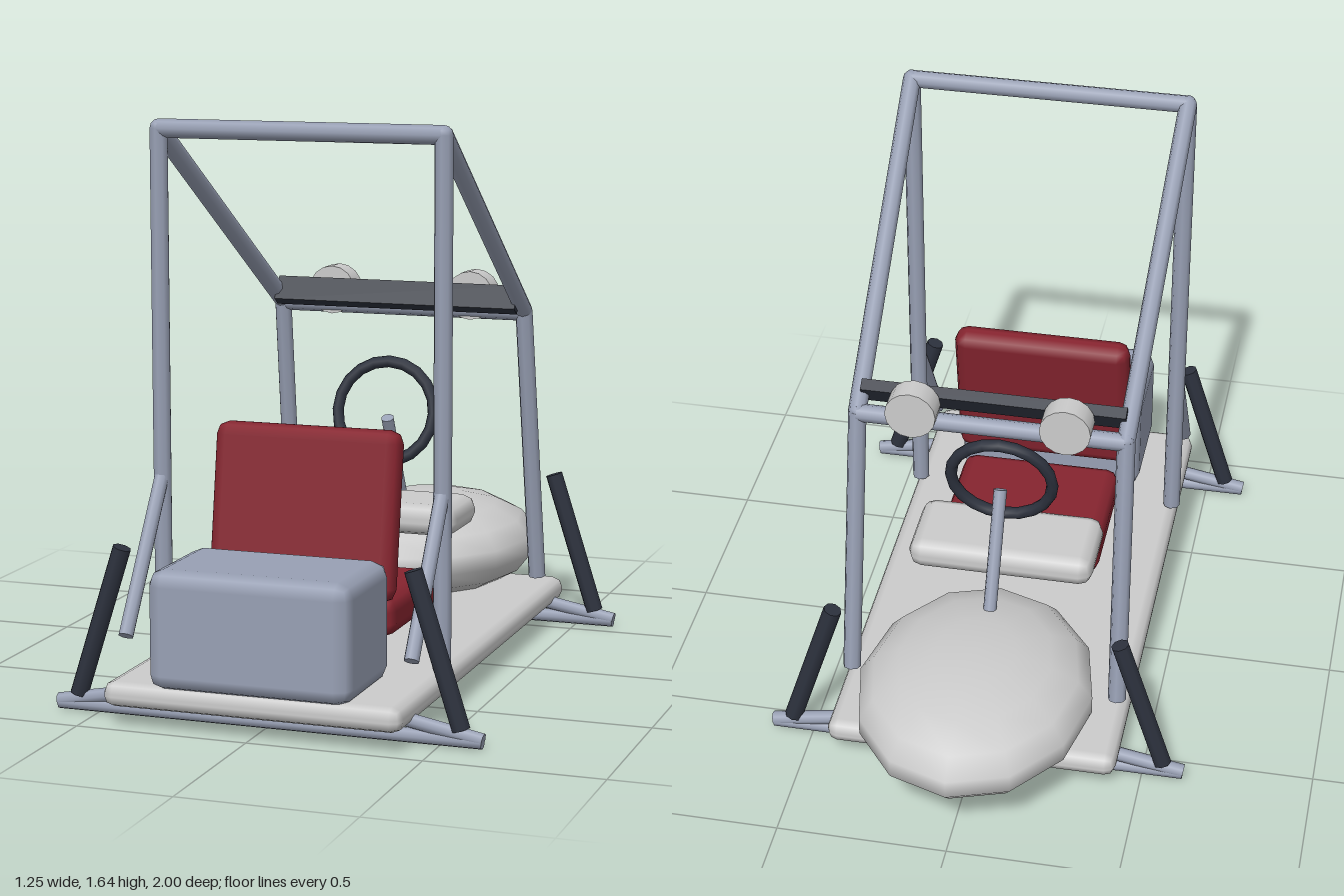
import * as THREE from 'three';
import { RoundedBoxGeometry } from 'three/addons/geometries/RoundedBoxGeometry.js';

const paint = (color) => new THREE.MeshStandardMaterial({ color });
const grey = paint(0xcccccc);
const steel = paint(0x98a0b4);
const dark = paint(0x2d323e);
const red = paint(0x86242f);

export function createModel() {
  const model = new THREE.Group();

  function add(name, geometry, material, x = 0, y = 0, z = 0, tilt = 0) {
    const mesh = new THREE.Mesh(geometry, material);
    mesh.name = name;
    mesh.position.set(x, y, z);
    mesh.rotation.x = tilt;
    model.add(mesh);
    return mesh;
  }

  // Softly chamfered block; the size is enlarged to offset the shrink of the coarse rounding
  function block(name, [w, h, d], radius, material, y, z, tilt = 0) {
    const g = 0.19 * radius;
    return add(name, new RoundedBoxGeometry(w + g, h + g, d + g, 1, radius), material, 0, y, z, tilt);
  }

  // Straight round bar between two points
  function bar(name, from, to, radius, material, sides = 8) {
    const a = new THREE.Vector3(...from), b = new THREE.Vector3(...to);
    const dir = b.clone().sub(a);
    const mesh = add(name, new THREE.CylinderGeometry(radius, radius, dir.length(), sides), material);
    mesh.position.copy(a).add(b).multiplyScalar(0.5);
    mesh.quaternion.setFromUnitVectors(new THREE.Vector3(0, 1, 0), dir.normalize());
    return mesh;
  }

  // Body
  block('floor', [0.86, 0.066, 1.66], 0.032, grey, 0.097, 0.157);
  block('bellyPan', [0.68, 0.036, 1.25], 0.017, steel, 0.034, 0.085);
  block('engine', [0.58, 0.328, 0.355], 0.045, steel, 0.291, 0.822);
  block('dashboard', [0.555, 0.086, 0.252], 0.04, grey, 0.433, -0.091);
  block('seatCushion', [0.5, 0.108, 0.438], 0.04, red, 0.251, 0.297);
  block('seatBack', [0.55, 0.475, 0.08], 0.038, red, 0.552, 0.53, -0.155);

  // Faceted egg-shaped nose
  add('nose', new THREE.SphereGeometry(1, 12, 9), grey, 0, 0.243, -0.565).scale.set(0.352, 0.16, 0.442);

  // Steering
  add('steeringWheel', new THREE.TorusGeometry(0.153, 0.018, 8, 20), dark, 0, 0.723, -0.167, -0.23);
  bar('steeringColumn', [0, 0.7, -0.185], [0, 0.37, -0.355], 0.02, steel);

  // Roll cage, struts and lamps, mirrored left and right
  const tube = 0.027;
  for (const s of [1, -1]) {
    const rearTop = [s * 0.418, 1.622, 0.575], frontTop = [s * 0.39, 1.03, -0.322];
    bar('rearPost', [s * 0.418, 0.14, 0.575], rearTop, tube, steel);
    bar('roofRail', rearTop, frontTop, tube, steel);
    bar('frontPost', [s * 0.403, 0.18, -0.452], frontTop, tube, steel);
    for (const p of [rearTop, frontTop])
      add('cageJoint', new THREE.SphereGeometry(tube, 8, 6), steel, ...p);
    bar('rearStrut', [s * 0.418, 0.635, 0.58], [s * 0.418, 0.23, 0.845], 0.022, steel);
    add('headlight', new THREE.CylinderGeometry(0.074, 0.074, 0.073, 16), grey, s * 0.223, 1.07, -0.342, Math.PI / 2);

    // Suspension arm and shock absorber at each corner
    for (const z of [0.85, -0.565]) {
      bar('suspensionArm', [s * 0.622, 0.03, z], [s * 0.38, 0.075, z], 0.021, steel);
      bar('shockAbsorber', [s * 0.424, 0.482, z], [s * 0.56, 0.055, z], 0.027, dark);
    }
  }
  bar('rearHoopBar', [-0.418, 1.622, 0.575], [0.418, 1.622, 0.575], tube, steel);
  bar('frontCrossbar', [-0.39, 1.025, -0.325], [0.39, 1.025, -0.325], tube, steel);
  add('lightBar', new THREE.BoxGeometry(0.77, 0.08, 0.035), dark, 0, 1.068, -0.268, -0.6);

  // Straight axles under the floor
  for (const z of [0.85, -0.565])
    bar('axle', [-0.62, 0.027, z], [0.62, 0.027, z], 0.021, steel);

  return model;
}
